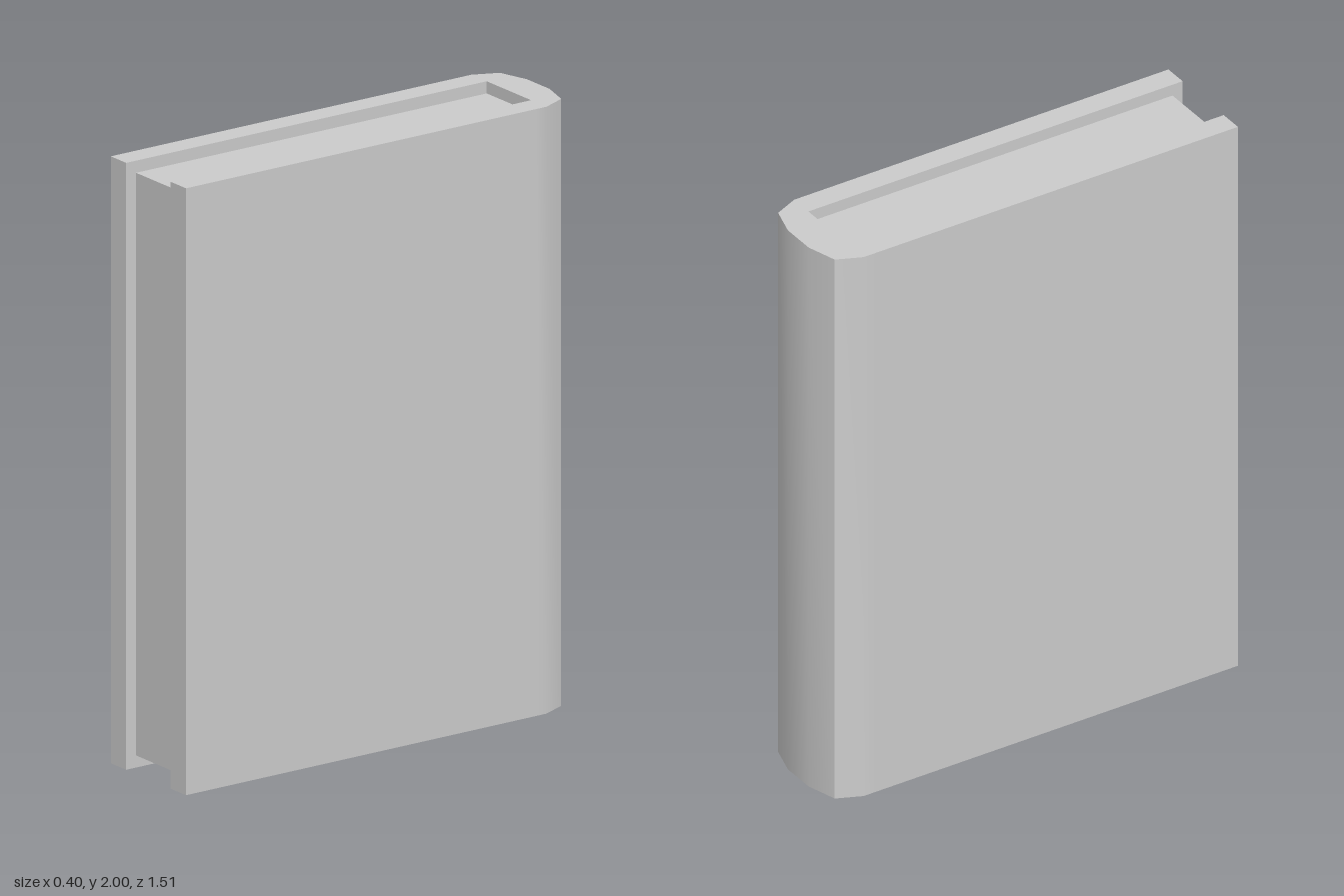
import * as THREE from 'three';
import { toCreasedNormals } from 'three/addons/utils/BufferGeometryUtils.js';

export function createModel() {
  const group = new THREE.Group();
  group.name = 'book';
  const material = new THREE.MeshStandardMaterial({ color: 0xcccccc });

  // Cover: U-shaped outline (x, -z), boards at the sides and a rounded spine at the back
  const half = [
    [0.118, 0.643], [0.118, -0.755], [0.2, -0.755],
    [0.2, 0.6], [0.2, 0.643], [0.163, 0.727], [0.06, 0.757],
  ];
  const mirrored = half.map(([x, y]) => [-x, y]).reverse();
  const outline = [...half, ...mirrored].map(([x, y]) => new THREE.Vector2(x, y));
  const coverGeometry = new THREE.ExtrudeGeometry(new THREE.Shape(outline), {
    depth: 2, bevelEnabled: false,
  });
  coverGeometry.rotateX(-Math.PI / 2);
  const cover = new THREE.Mesh(toCreasedNormals(coverGeometry, Math.PI / 6), material);
  cover.name = 'cover';
  group.add(cover);

  // Page block, set back from the cover's top, bottom and front edges
  const pages = new THREE.Mesh(new THREE.BoxGeometry(0.236, 1.92, 1.36), material);
  pages.name = 'pages';
  pages.position.set(0, 1, 0.037);
  group.add(pages);

  return group;
}
